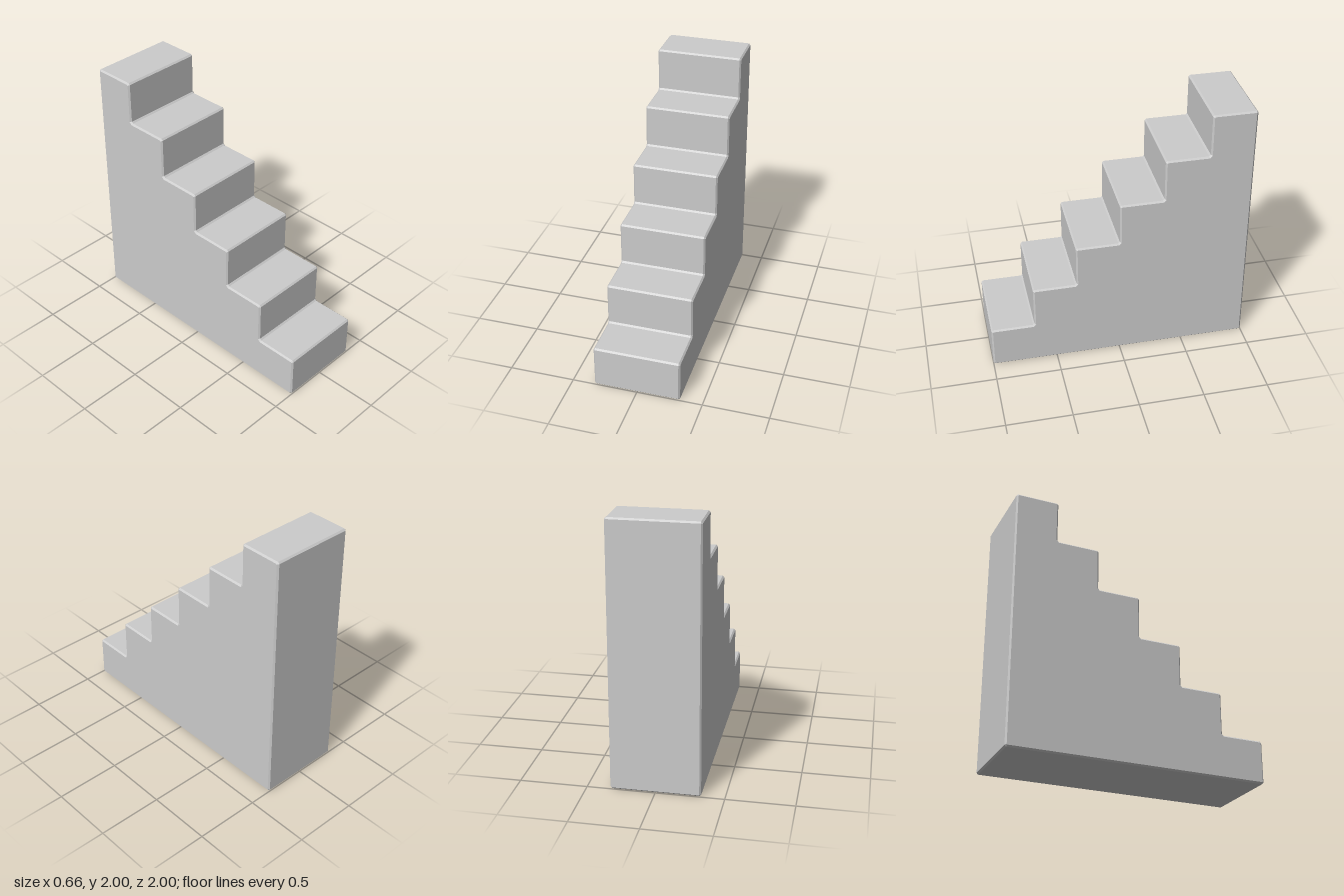
import * as THREE from 'three';

const STEPS = 6;
const LENGTH = 2;
const HEIGHT = 2;
const WIDTH = 0.66;
const CHAMFER = 0.012;

// Side outline of the staircase, counter-clockwise; shape x runs front to back
function stairOutline() {
  const run = LENGTH / STEPS;
  const rise = HEIGHT / STEPS;
  const points = [new THREE.Vector2(LENGTH / 2, 0), new THREE.Vector2(LENGTH / 2, HEIGHT)];
  for (let i = STEPS - 1; i >= 0; i--) {
    const x = -LENGTH / 2 + i * run;
    points.push(new THREE.Vector2(x, (i + 1) * rise), new THREE.Vector2(x, i * rise));
  }
  return points;
}

// Replace every corner by a short diagonal cut
function chamferCorners(points, size) {
  const towards = (from, to) => to.clone().sub(from).setLength(size).add(from);
  return points.flatMap((p, i) => [
    towards(p, points[(i + points.length - 1) % points.length]),
    towards(p, points[(i + 1) % points.length]),
  ]);
}

export function createModel() {
  const group = new THREE.Group();
  group.name = 'staircase';

  // Solid flight of steps with narrow chamfers on all edges
  const depth = WIDTH - 2 * CHAMFER;
  const geometry = new THREE.ExtrudeGeometry(
    new THREE.Shape(chamferCorners(stairOutline(), CHAMFER)),
    {
      depth,
      bevelEnabled: true,
      bevelSegments: 1,
      bevelThickness: CHAMFER,
      bevelSize: CHAMFER,
      bevelOffset: -CHAMFER,
    }
  );
  geometry.translate(0, 0, -depth / 2);
  geometry.rotateY(Math.PI / 2);

  const steps = new THREE.Mesh(
    geometry,
    new THREE.MeshStandardMaterial({ color: 0xcccccc, flatShading: true })
  );
  steps.name = 'steps';
  group.add(steps);
  return group;
}
